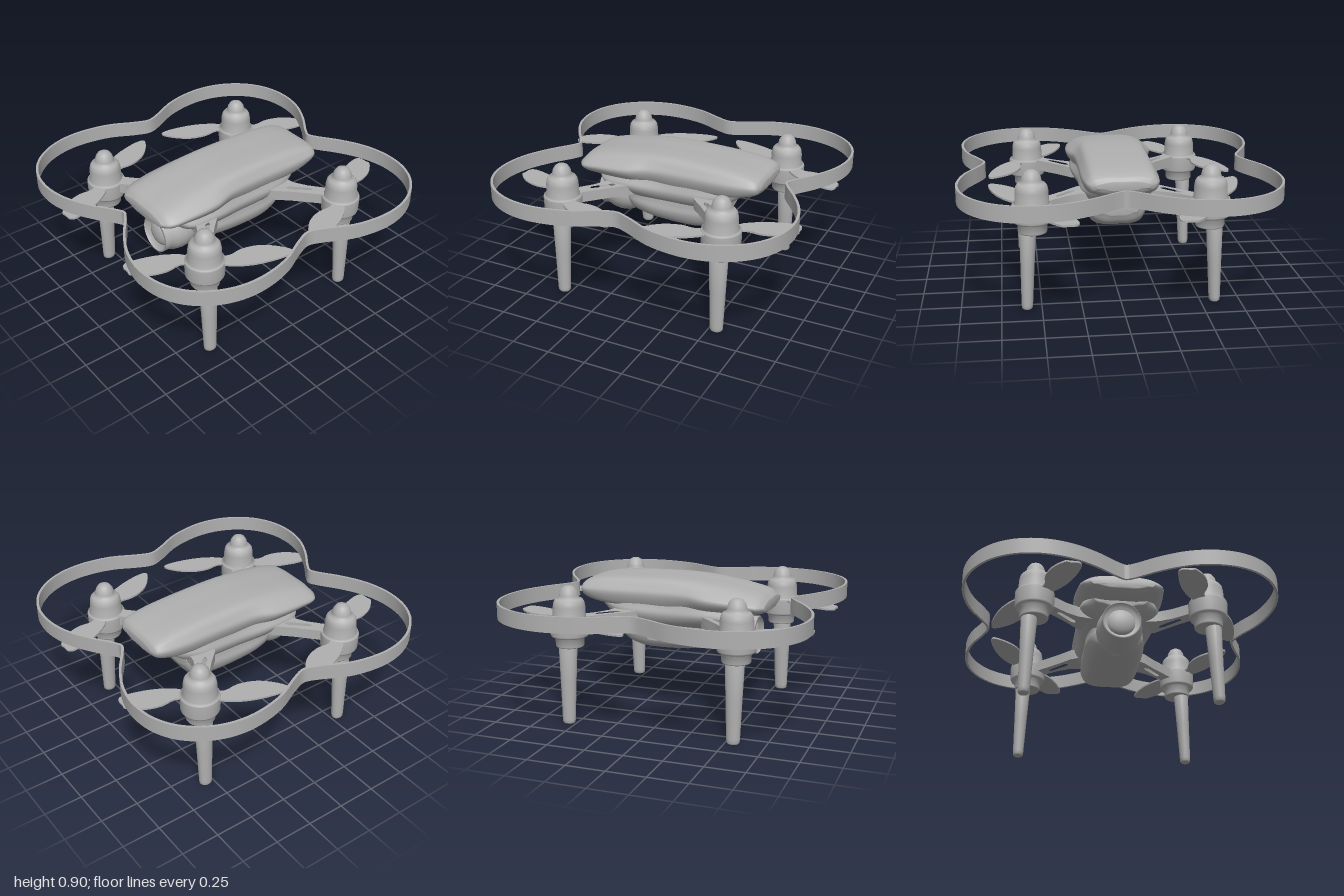
import * as THREE from 'three';
import { toCreasedNormals } from 'three/addons/utils/BufferGeometryUtils.js';

const V2 = (x, y) => new THREE.Vector2(x, y);
const V3 = (x, y, z) => new THREE.Vector3(x, y, z);

// Flat plate from [x, z] outline, between heights y0 and y1
function plate(points, y0, y1, hole) {
  const shape = new THREE.Shape(points.map(([x, z]) => V2(x, -z)));
  if (hole) shape.holes.push(new THREE.Path(hole.map(([x, z]) => V2(x, -z))));
  const g = new THREE.ExtrudeGeometry(shape, { depth: y1 - y0, bevelEnabled: false, steps: 1 });
  g.rotateX(-Math.PI / 2);
  g.translate(0, y0, 0);
  return toCreasedNormals(g, 0.7);
}

// Smooth hull; rows are [z, topHalf, sideHalf, bottomHalf, yTop, ySide, yBottom]
function hull(rows) {
  const nets = rows.map(([z, wt, ws, wb, yt, ys, yb]) => {
    const half = [
      [wt * 0.55, yt], [wt, yt - 0.012], [(wt + ws * 2) / 3, ys + (yt - ys) * 0.4],
      [ws, ys], [ws * 0.6 + wb * 0.4, ys * 0.45 + yb * 0.55], [wb, yb + 0.015], [wb * 0.55, yb],
    ];
    const right = half.map(([x, y]) => V3(x, y, z));
    const left = half.map(([x, y]) => V3(-x, y, z)).reverse();
    return [V3(0, yt, z), ...right, V3(0, yb, z), ...left];
  });
  const rails = nets[0].map((_, k) => new THREE.CatmullRomCurve3(nets.map((n) => n[k])));
  const L = 48, N = 56;
  const pos = [], idx = [];
  const loops = [];
  for (let i = 0; i <= L; i++) {
    const ring = new THREE.CatmullRomCurve3(rails.map((r) => r.getPoint(i / L)), true);
    loops.push(Array.from({ length: N }, (_, j) => ring.getPoint(j / N)));
  }
  // close both ends onto their centres
  const shrink = (loop) => {
    const c = loop.reduce((s, p) => s.add(p), V3(0, 0, 0)).divideScalar(N);
    return loop.map(() => c.clone());
  };
  loops.unshift(shrink(loops[0]));
  loops.push(shrink(loops[loops.length - 1]));
  loops.forEach((loop) => loop.forEach((p) => pos.push(p.x, p.y, p.z)));
  for (let i = 0; i < loops.length - 1; i++) {
    for (let j = 0; j < N; j++) {
      const a = i * N + j, b = i * N + ((j + 1) % N), c = a + N, d = b + N;
      idx.push(a, c, b, b, c, d);
    }
  }
  const g = new THREE.BufferGeometry();
  g.setAttribute('position', new THREE.Float32BufferAttribute(pos, 3));
  g.setIndex(idx);
  g.computeVertexNormals();
  return g;
}

const lathe = (profile, seg = 40) =>
  new THREE.LatheGeometry(profile.map(([r, y]) => V2(r, y)), seg);

export function createModel() {
  const model = new THREE.Group();
  model.name = 'quadcopter';
  const grey = new THREE.MeshStandardMaterial({ color: 0xb0b0b0 });
  grey.name = 'grey';
  const add = (name, geometry, parent = model) => {
    const m = new THREE.Mesh(geometry, grey);
    m.name = name;
    parent.add(m);
    return m;
  };

  // Four-lobed guard band
  const quarter = [
    [0.05, 0.775], [0.18, 0.868], [0.31, 0.94], [0.42, 0.976], [0.54, 0.989], [0.68, 0.968],
    [0.81, 0.9], [0.91, 0.79], [0.97, 0.66], [0.992, 0.52], [0.98, 0.38], [0.945, 0.25], [0.87, 0.1],
  ];
  const side = [...quarter, [0.836, 0], ...quarter.map(([x, z]) => [x, -z]).reverse()];
  const loop = [[0, 0.752], ...side, [0, -0.752], ...side.map(([x, z]) => [-x, z]).reverse()];
  const path = new THREE.CatmullRomCurve3(loop.map(([x, z]) => V3(x, 0, z)), true);
  const offset = (d) => Array.from({ length: 240 }, (_, i) => {
    const p = path.getPoint(i / 240), t = path.getTangent(i / 240);
    return [p.x - t.z * d, p.z + t.x * d];
  });
  add('guardBand', plate(offset(0.008), 0.7, 0.8, offset(-0.008)));

  // Upper shell
  add('upperShell', hull([
    [-0.645, 0.14, 0.16, 0.12, 0.82, 0.795, 0.77],
    [-0.62, 0.175, 0.21, 0.17, 0.85, 0.80, 0.74],
    [-0.5, 0.185, 0.235, 0.2, 0.88, 0.80, 0.71],
    [-0.1, 0.19, 0.24, 0.2, 0.90, 0.80, 0.69],
    [0.1, 0.19, 0.25, 0.2, 0.898, 0.80, 0.69],
    [0.25, 0.187, 0.285, 0.22, 0.885, 0.79, 0.69],
    [0.45, 0.185, 0.28, 0.2, 0.855, 0.775, 0.69],
    [0.58, 0.18, 0.255, 0.18, 0.82, 0.76, 0.70],
    [0.625, 0.15, 0.2, 0.15, 0.785, 0.755, 0.72],
  ]));

  // Main fuselage under the shell
  add('fuselage', hull([
    [-0.52, 0.12, 0.14, 0.10, 0.77, 0.74, 0.70],
    [-0.42, 0.18, 0.2, 0.15, 0.78, 0.70, 0.63],
    [-0.3, 0.2, 0.23, 0.17, 0.78, 0.68, 0.585],
    [0, 0.2, 0.235, 0.18, 0.78, 0.67, 0.575],
    [0.25, 0.22, 0.265, 0.18, 0.78, 0.68, 0.58],
    [0.42, 0.2, 0.245, 0.15, 0.78, 0.68, 0.61],
    [0.5, 0.13, 0.17, 0.10, 0.77, 0.71, 0.66],
  ]));

  // Belly pod
  add('bellyPod', hull([
    [-0.375, 0.14, 0.13, 0.09, 0.61, 0.57, 0.53],
    [-0.34, 0.17, 0.17, 0.12, 0.62, 0.55, 0.47],
    [-0.24, 0.18, 0.19, 0.14, 0.63, 0.53, 0.43],
    [0, 0.18, 0.195, 0.14, 0.63, 0.52, 0.42],
    [0.18, 0.18, 0.19, 0.13, 0.63, 0.53, 0.435],
    [0.28, 0.16, 0.16, 0.11, 0.62, 0.54, 0.46],
    [0.32, 0.12, 0.12, 0.08, 0.61, 0.56, 0.51],
  ]));

  // Camera pod with a shallow rim around the lens
  const camera = new THREE.Group();
  camera.name = 'camera';
  camera.position.set(0, 0.535, 0);
  model.add(camera);
  add('cameraHousing', lathe([
    [0, 0.2], [0.095, 0.2], [0.1, 0.28], [0.125, 0.305], [0.142, 0.35], [0.146, 0.4],
    [0.138, 0.45], [0.122, 0.49], [0.125, 0.535], [0.117, 0.542], [0.105, 0.505], [0, 0.495],
  ]).rotateX(Math.PI / 2), camera);
  const lens = add('lens', new THREE.SphereGeometry(0.092, 32, 20), camera);
  lens.scale.z = 0.5;
  lens.position.z = 0.492;

  // Corner parts, as outlines for the +x +z corner
  const inner = [[0.053, 0.14], [0.05, 0.235], [0.085, 0.34], [0.155, 0.42]];
  const outer = [[0.257, 0.36], [0.21, 0.21], [0.13, 0.085], [0.03, 0.02]];
  const curve = (pts) => new THREE.SplineCurve(pts.map(([x, z]) => V2(x, z)))
    .getPoints(30).map((p) => [p.x, p.y]);
  const longBlade = curve([[0, 0.05], ...inner, [0.235, 0.472], [0.265, 0.455], ...outer]);
  const cutBlade = curve([[0, 0.05], ...inner, [0.19, 0.42], [0.245, 0.415], ...outer]);
  const arm = [[0.16, 0.18], [0.26, 0.235], [0.34, 0.32], [0.47, 0.44], [0.56, 0.5], [0.5, 0.58],
    [0.42, 0.51], [0.34, 0.445], [0.26, 0.4], [0.16, 0.38]];
  const slot = [[0.27, 0.315], [0.3, 0.32], [0.4, 0.43], [0.39, 0.445], [0.37, 0.435], [0.28, 0.345]];

  for (const sx of [1, -1]) {
    for (const sz of [1, -1]) {
      const flip = (pts, kx, kz) => pts.map(([x, z]) => [x * kx, z * kz]);
      const corner = new THREE.Group();
      corner.name = (sz > 0 ? 'front' : 'back') + (sx > 0 ? 'Left' : 'Right') + 'Rotor';
      corner.position.set(0.547 * sx, 0, 0.55 * sz);
      model.add(corner);

      // Slotted arm
      add('arm', plate(flip(arm, sx, sz), 0.615, 0.685, flip(slot, sx, sz)));

      // Motor, stepped collar and domed cap
      add('motor', lathe([
        [0, 0.5], [0.085, 0.5], [0.09, 0.508], [0.092, 0.56], [0.115, 0.568], [0.121, 0.58],
        [0.124, 0.672], [0.12, 0.682], [0.104, 0.686], [0.102, 0.76], [0.096, 0.79],
        [0.084, 0.806], [0.064, 0.812], [0.061, 0.83], [0.055, 0.855], [0.04, 0.878],
        [0.022, 0.889], [0, 0.891],
      ]), corner);

      // Two blades, pointing outward-inward across the hub
      add('sideBlade', plate(flip(longBlade, sx, -sz), 0.664, 0.676), corner);
      add('endBlade', plate(flip(cutBlade, -sx, sz), 0.664, 0.676), corner);

      // Tapered leg, leaning slightly outward
      const leg = lathe([
        [0, 0], [0.034, 0], [0.041, 0.008], [0.043, 0.03], [0.052, 0.28], [0.061, 0.51], [0, 0.53],
      ], 28);
      const p = leg.attributes.position;
      for (let i = 0; i < p.count; i++) {
        p.setX(i, p.getX(i) * 0.84 + sx * (0.045 - 0.03 * p.getY(i)));
      }
      leg.computeVertexNormals();
      add('leg', leg, corner);
    }
  }
  return model;
}
